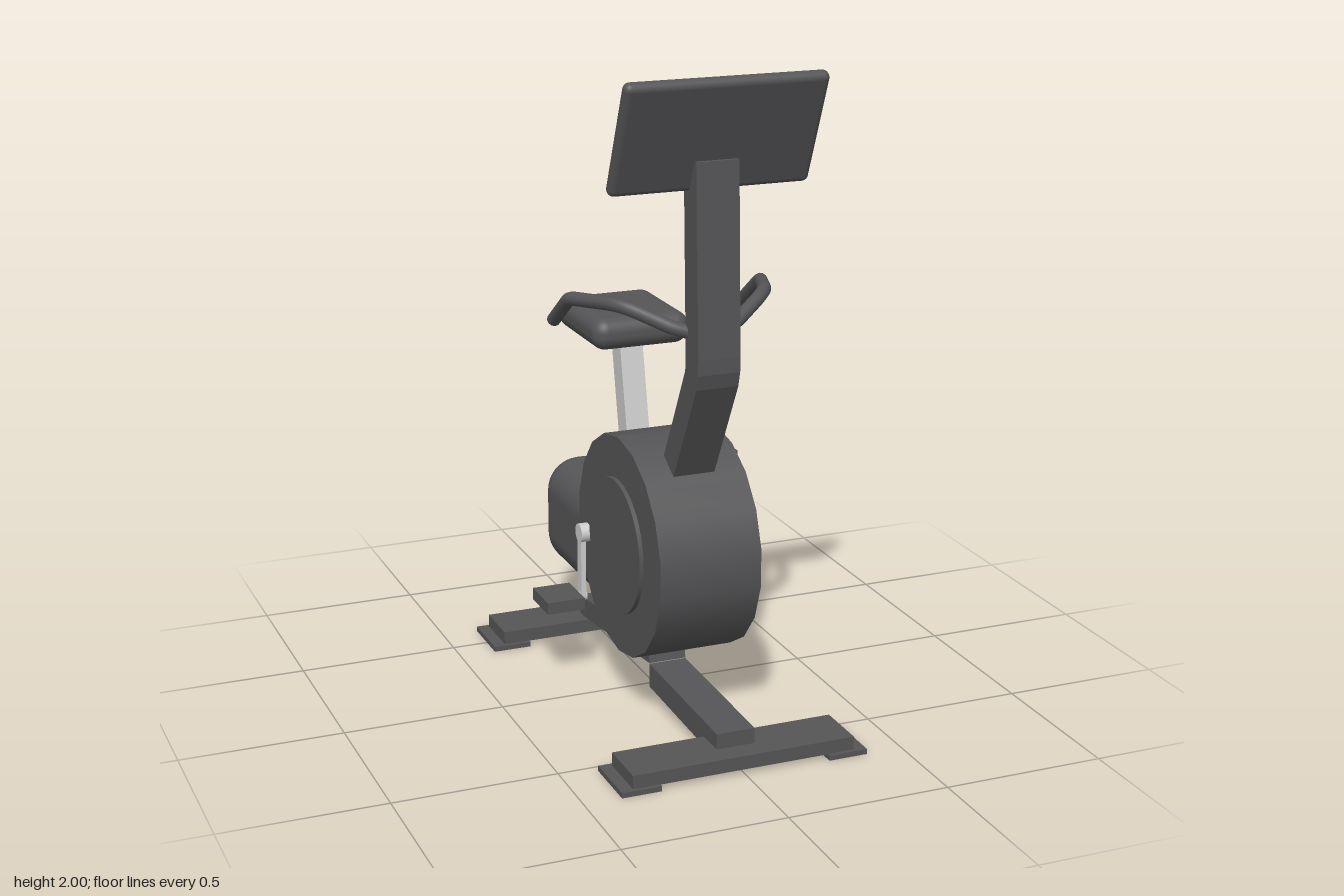
import * as THREE from 'three';
import { RoundedBoxGeometry } from 'three/addons/geometries/RoundedBoxGeometry.js';

export function createModel() {
  const bike = new THREE.Group();
  bike.name = 'exerciseBike';
  const dark = new THREE.MeshStandardMaterial({ name: 'charcoal', color: 0x555557 });
  const light = new THREE.MeshStandardMaterial({ name: 'lightGrey', color: 0xcccccc });

  const add = (name, geometry, material, x = 0, y = 0, z = 0, parent = bike) => {
    const mesh = new THREE.Mesh(geometry, material);
    mesh.name = name;
    mesh.position.set(x, y, z);
    parent.add(mesh);
    return mesh;
  };
  const box = (w, h, d) => new THREE.BoxGeometry(w, h, d);
  // Cylinder lying along x, with a vertex at the very top
  const disc = (r, width, sides) =>
    new THREE.CylinderGeometry(r, r, width, sides, 1, false, Math.PI / 2).rotateZ(Math.PI / 2);
  // Side profile given as [z, y] points, extruded symmetrically across x
  const sideProfile = (points, width) => {
    const shape = new THREE.Shape(points.map(([z, y]) => new THREE.Vector2(z, y)));
    return new THREE.ExtrudeGeometry(shape, { depth: width, bevelEnabled: false })
      .translate(0, 0, -width / 2).rotateY(-Math.PI / 2);
  };

  // Flywheel drum with raised side covers
  add('flywheelDrum', disc(0.342, 0.32, 18), dark, 0, 0.52, 0.112);
  for (const s of [1, -1]) add('flywheelCover', disc(0.21, 0.02, 48), dark, s * 0.163, 0.52, 0.108);

  // Rear housing
  add('rearHousing', new RoundedBoxGeometry(0.244, 0.362, 0.68, 6, 0.11), dark, 0, 0.374, -0.38);

  // Seat and its slanted post
  add('seat', new RoundedBoxGeometry(0.315, 0.1, 0.36, 5, 0.045), dark, 0, 1.12, -0.254);
  add('seatPost', sideProfile([[-0.19, 1.09], [-0.263, 1.09], [-0.165, 0.62], [-0.092, 0.62]], 0.075), light);

  // Bent mast
  add('mast', sideProfile([
    [0.475, 1.755], [0.496, 1.19], [0.495, 1.145], [0.483, 1.1], [0.315, 0.787],
    [0.29, 0.74], [0.205, 0.77], [0.24, 0.83], [0.4, 1.135], [0.405, 1.16], [0.385, 1.755],
  ], 0.13), dark);

  // Tilted display with a thin screen facing the rider
  const display = new THREE.Group();
  display.name = 'display';
  display.position.set(0, 1.832, 0.472);
  display.rotation.x = 0.4;
  bike.add(display);
  add('displayCase', new RoundedBoxGeometry(0.61, 0.36, 0.042, 4, 0.02), dark, 0, 0, 0, display);
  add('screen', box(0.55, 0.3, 0.008), dark, 0, 0, -0.023, display);

  // Handlebars: straight runs joined by rounded corners
  const handlebar = (side) => {
    const p = [
      [0, 1.235, 0.42], [0.1, 1.265, 0.39], [0.225, 1.325, 0.31],
      [0.305, 1.302, 0.1], [0.305, 1.203, -0.037],
    ].map(([x, y, z]) => new THREE.Vector3(side * x, y, z));
    const path = new THREE.CurvePath();
    let from = p[0];
    for (let i = 1; i < p.length - 1; i++) {
      const toward = (q, d) => p[i].clone().add(q.clone().sub(p[i]).setLength(d));
      const a = toward(p[i - 1], i === 2 ? 0.06 : 0.02);
      const b = toward(p[i + 1], i === 2 ? 0.06 : 0.02);
      path.add(new THREE.LineCurve3(from, a));
      path.add(new THREE.QuadraticBezierCurve3(a, p[i], b));
      from = b;
    }
    const end = p[p.length - 1];
    path.add(new THREE.LineCurve3(from, end));
    add('handlebar', new THREE.TubeGeometry(path, 48, 0.021, 12), dark);
    const cap = add('handlebarCap', new THREE.CircleGeometry(0.021, 12), dark, end.x, end.y, end.z);
    cap.lookAt(end.clone().add(end.clone().sub(p[p.length - 2])));
  };
  handlebar(1);
  handlebar(-1);

  // Cranks and pedals, left one up and right one down
  for (const s of [1, -1]) {
    const axleY = 0.473;
    const pedalY = axleY + s * 0.21;
    add('crankHub', disc(0.03, 0.055, 20), light, s * 0.163, axleY, -0.152);
    add('crankArm', box(0.016, 0.21, 0.034), light, s * 0.181, axleY + s * 0.105, -0.152);
    add('pedalAxle', disc(0.015, 0.05, 12), light, s * 0.193, pedalY, -0.152);
    add('pedal', box(0.122, 0.038, 0.142), dark, s * 0.258, pedalY, -0.155);
  }

  // Base spine: front and rear bars
  add('frontBar', sideProfile([[0.635, 0.105], [0.635, 0.025], [0.115, 0.042], [0.115, 0.118]], 0.12), dark);
  add('rearBar', sideProfile([[0.1, 0.187], [0.115, 0.12], [-0.498, 0.053], [-0.508, 0.117]], 0.12), dark);

  // Cross feet with pads at their ends
  for (const [name, z] of [['frontFoot', 0.622], ['rearFoot', -0.511]]) {
    const depth = z > 0 ? 0.166 : 0.163;
    add(name, box(0.696, 0.042, depth), dark, 0, 0.036, z);
    for (const s of [1, -1]) add(name + 'Pad', box(0.122, 0.016, depth + 0.025), dark, s * 0.325, 0.008, z);
  }
  return bike;
}
